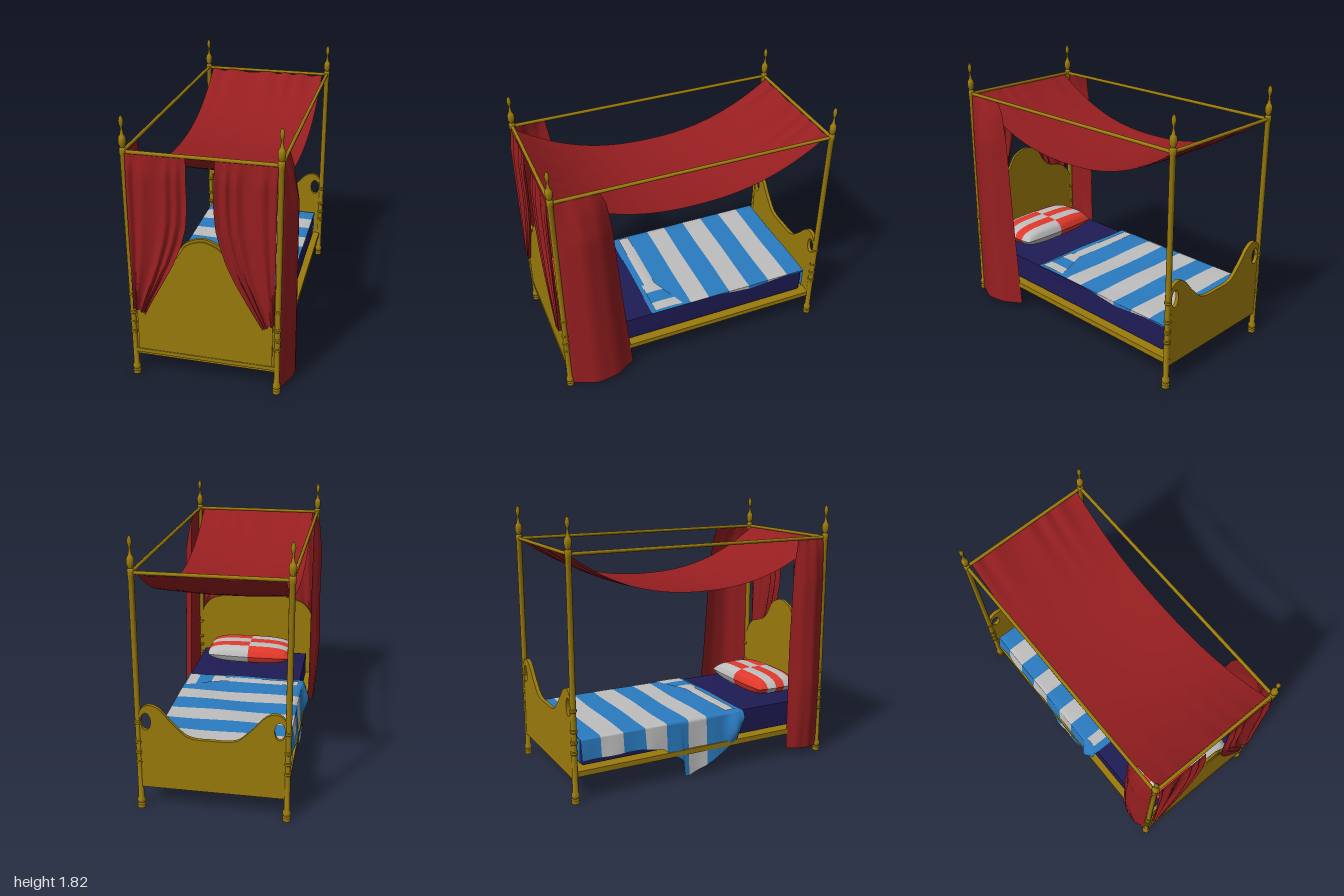
import * as THREE from 'three';
import { mergeGeometries, toCreasedNormals } from 'three/addons/utils/BufferGeometryUtils.js';

const mat = (name, color, double = false) => {
  const m = new THREE.MeshStandardMaterial({ color });
  m.name = name;
  if (double) m.side = THREE.DoubleSide;
  return m;
};

// Piecewise linear lookup in [[key, value], ...] with ascending keys
function lookup(table, k) {
  if (k <= table[0][0]) return table[0][1];
  for (let i = 1; i < table.length; i++) {
    const [a, va] = table[i - 1], [b, vb] = table[i];
    if (k <= b) return va + (vb - va) * (k - a) / (b - a);
  }
  return table[table.length - 1][1];
}

// Sheet with nu x nv cells, where fn(u, v) returns [x, y, z]
function sheet(nu, nv, fn) {
  const geo = new THREE.PlaneGeometry(1, 1, nu, nv);
  const pos = geo.attributes.position, uv = geo.attributes.uv;
  for (let i = 0; i < pos.count; i++) pos.setXYZ(i, ...fn(uv.getX(i), 1 - uv.getY(i)));
  geo.computeVertexNormals();
  return geo;
}

export function createModel() {
  const bed = new THREE.Group();
  bed.name = 'canopyBed';
  const gold = mat('golden wood', 0x9b7b0c);
  const red = mat('red cloth', 0x961e20, true);
  const navy = mat('navy mattress', 0x1f1c56);
  const blue = mat('blue stripe', 0x2a7bc0, true);
  const pale = mat('pale grey cloth', 0xbebebe, true);
  const scarlet = mat('scarlet check', 0xe0382b, true);
  const add = (name, geo, material, x = 0, y = 0, z = 0) => {
    const m = new THREE.Mesh(geo, material);
    m.name = name;
    m.position.set(x, y, z);
    bed.add(m);
    return m;
  };
  const L = 0.465, R = -0.49, CX = (L + R) / 2, FZ = 0.957, BZ = -0.97, CZ = (FZ + BZ) / 2;

  // Turned posts with rings and finials
  const ring = (y) => [[0.019, y - 0.012], [0.024, y - 0.007], [0.024, y + 0.007], [0.019, y + 0.012]];
  const profile = [[0, 0], [0.026, 0], [0.026, 0.025], [0.019, 0.033], [0.027, 0.045], [0.027, 0.062], [0.019, 0.078],
    ...ring(0.34), ...ring(0.41), ...ring(0.485), ...ring(0.62), [0.019, 1.575], [0.022, 1.582], [0.022, 1.615],
    [0.014, 1.625], [0.023, 1.645], [0.024, 1.675], [0.02, 1.692], [0.013, 1.7], [0.008, 1.73], [0.007, 1.752],
    [0.013, 1.768], [0.015, 1.787], [0.01, 1.81], [0, 1.824]];
  const postGeo = toCreasedNormals(new THREE.LatheGeometry(profile.map(p => new THREE.Vector2(...p)), 16), 0.7);
  for (const x of [L, R]) for (const z of [FZ, BZ]) add('post', postGeo, gold, x, 0, z);

  // Canopy rails
  for (const x of [L, R]) {
    add('longRail', new THREE.CylinderGeometry(0.012, 0.012, FZ - BZ, 10), gold, x, 1.597, CZ).rotation.x = Math.PI / 2;
  }
  for (const z of [FZ, BZ]) {
    add('crossRail', new THREE.CylinderGeometry(0.012, 0.012, L - R, 10), gold, CX, 1.597, z).rotation.z = Math.PI / 2;
  }

  // Base board and mattress
  add('baseBoard', new THREE.BoxGeometry(L - R, 0.037, FZ - BZ), gold, CX, 0.19, CZ);
  const mw = 0.86, mh = 0.175, bev = 0.02;
  const mShape = new THREE.Shape([[-1, -1], [1, -1], [1, 1], [-1, 1]].map(
    ([a, b]) => new THREE.Vector2(a * (mw / 2 - bev), b * (mh / 2 - bev))));
  const mGeo = new THREE.ExtrudeGeometry(mShape, { depth: 1.77, bevelSize: bev, bevelThickness: bev, bevelSegments: 3 });
  add('mattress', toCreasedNormals(mGeo, 0.6), navy, CX, 0.314, -0.89);

  // Shaped end boards: mirrored half outlines, smoothed along the top
  function board(name, half, z, depth, k, holes) {
    const top = new THREE.SplineCurve([...half.slice(1).reverse().map(([x, y]) => new THREE.Vector2(-x, y)),
      ...half.map(([x, y]) => new THREE.Vector2(x, y))]).getPoints(56);
    const fit = (x, y) => new THREE.Vector2(x * k, 0.16 + (1 - k) * 0.55 + (y - 0.16) * k);
    const s = new THREE.Shape([fit(-0.47, 0.16), ...top.map(p => fit(p.x, p.y)), fit(0.47, 0.16)]);
    if (holes) for (const sx of [-1, 1]) {
      s.holes.push(new THREE.Path().absellipse(sx * 0.425, 0.63, 0.033, 0.06, 0, Math.PI * 2));
    }
    const geo = new THREE.ExtrudeGeometry(s, { depth, bevelEnabled: false });
    add(name, toCreasedNormals(geo, 0.5), gold, CX, 0, z);
  }
  const headHalf = [[0, 1.07], [0.06, 1.055], [0.12, 1.02], [0.17, 0.94], [0.22, 0.885], [0.3, 0.855], [0.38, 0.83], [0.44, 0.77], [0.47, 0.7]];
  const footHalf = [[0, 0.53], [0.1, 0.53], [0.17, 0.55], [0.22, 0.595], [0.27, 0.645], [0.33, 0.715], [0.39, 0.745], [0.44, 0.73], [0.47, 0.69]];
  board('headboard', headHalf, 0.942, 0.02, 1, false);
  board('headboardPanel', headHalf, 0.962, 0.008, 0.95, false);
  board('footboard', footHalf, -0.983, 0.026, 1, true);
  add('headboardTrim', new THREE.BoxGeometry(0.94, 0.028, 0.014), gold, CX, 0.195, 0.967);

  // Sagging canopy cloth
  add('canopy', sheet(40, 40, (u, v) => {
    const t = 2 * v - 1, a = Math.abs(t), x = -0.455 + 0.885 * u;
    const fold = 0.012 * Math.sin(u * 31 + 2 * Math.sin(u * 9)) * a ** 4;
    const belly = 0.026 * Math.sin(Math.PI * u) * (1 - t * t);
    return [x, 1.286 + 0.304 * a ** 2.3 + fold * (t < 0 ? 1 : 0.3) - belly, CZ + 0.96 * t];
  }), red);

  // Tied-back front curtains: inner edge x by height
  const frontCurtains = [
    ['rightFrontCurtain', -0.475, 0.525, 0.495, [[0.495, -0.395], [0.6, -0.345], [0.7, -0.29], [0.88, -0.195], [1.03, -0.135], [1.15, -0.105], [1.3, -0.093], [1.59, -0.1]]],
    ['leftFrontCurtain', 0.45, 0.525, 0.495, [[0.495, 0.375], [0.63, 0.295], [0.8, 0.2], [0.92, 0.145], [1.03, 0.11], [1.15, 0.08], [1.3, 0.068], [1.59, 0.075]]],
  ];
  for (const [name, outer, yOuter, yInner, edge] of frontCurtains) {
    add(name, sheet(48, 32, (u, v) => {
      const y = 1.592 + (yOuter + (yInner - yOuter) * u - 1.592) * v;
      const x = outer + (lookup(edge, y) - outer) * u;
      const open = Math.min(1, v * 8);
      return [x, y, 0.974 + open * (0.009 + 0.012 * Math.sin(u * 24 + 1.8 * Math.sin(u * 8) + v))];
    }), red);
  }

  // Hanging side curtains behind the head posts: inner edge z and bulge by height
  const sideCurtains = [
    ['leftSideCurtain', 1, 0.462, 0.025, [[0.03, 0.48], [0.6, 0.53], [1.3, 0.58], [1.5, 0.61], [1.592, 0.65]], [[0.03, 0.09], [1.3, 0.083], [1.5, 0.045], [1.592, 0.012]]],
    ['rightSideCurtain', -1, 0.487, 0.05, [[0.03, 0.68], [0.8, 0.68], [1.4, 0.7], [1.592, 0.73]], [[0.05, 0.035], [0.3, 0.055], [0.55, 0.068], [1, 0.055], [1.3, 0.058], [1.5, 0.035], [1.592, 0.006]]],
  ];
  for (const [name, side, base, bottom, edge, bulge] of sideCurtains) {
    add(name, sheet(32, 32, (u, v) => {
      const y = 1.592 + (bottom - 0.01 + 0.02 * u - 1.592) * v;
      const z = 0.962 + (lookup(edge, y) - 0.962) * u;
      const out = lookup(bulge, y) * Math.sin(Math.PI * u) + 0.003 * Math.sin(u * 18 + v);
      return [side * (base + out), y, z];
    }), red);
  }

  // Striped blanket: cross-section from left edge over the top to the right hem
  const hem = [[-0.92, 0.27], [-0.5, 0.27], [-0.33, 0.24], [-0.25, 0.18], [-0.2, 0.15], [-0.182, 0.13], [-0.172, 0.015], [-0.13, 0.017], [0, 0.06], [0.17, 0.15], [0.25, 0.21], [0.31, 0.36]];
  const drop = [[-0.92, 0.012], [-0.75, 0.006], [-0.62, 0.018], [-0.48, 0.032], [-0.36, 0.02], [-0.22, 0.003], [0.33, 0]];
  const across = (u, z) => {
    const wave = 0.003 * Math.sin(u * 14 + z * 9);
    if (u < 0.08) return [0.423, 0.41 - lookup(drop, z) * (1 - u / 0.08), z];
    if (u < 0.68) return [0.421 - 0.887 * (u - 0.08) / 0.6, 0.411 + wave, z];
    const t = (u - 0.68) / 0.32;
    const bump = 0.045 * Math.exp(-(((z - 0.23) / 0.05) ** 2)) * Math.sin(Math.PI * t);
    return [-0.468 - 0.02 * t - bump - 0.005 * t * Math.sin(z * 25), 0.408 + (lookup(hem, z) - 0.408) * t, z];
  };
  const stops = [0.31, 0.01, -0.135, -0.3, -0.46, -0.62, -0.78, -0.918];
  for (let i = 0; i + 1 < stops.length; i++) {
    add('blanketStripe', sheet(50, 24, (u, v) => across(u, stops[i] + (stops[i + 1] - stops[i]) * v)), i % 2 ? pale : blue);
  }
  add('blanketFootFlap', sheet(20, 4, (u, v) => [0.423 - 0.885 * u, 0.41 - 0.16 * v, -0.918 - 0.006 * Math.sin(u * 20) * v]), blue);
  // Turned-over head edge and its corner, with crossing stripes
  add('blanketHeadEdge', sheet(20, 4, (u, v) => [0.13 - 0.57 * u, 0.418 + 0.003 * Math.sin(Math.PI * v), 0.26 - 0.08 * v]), pale);
  for (const [x0, x1, m] of [[0.41, 0.33, pale], [0.33, 0.22, blue], [0.22, 0.13, pale]]) {
    add('blanketFold', sheet(6, 4, (u, v) => {
      const x = x0 + (x1 - x0) * u;
      return [x, 0.418 + 0.003 * Math.sin(Math.PI * v), 0.28 - (0.1 + 0.4 * (x - 0.13)) * v];
    }), m);
  }

  // Checked pillow: two columns of bands, top and bottom
  const cells = [[], []], rows = 5;
  const puff = (a, b, s) => {
    const h = Math.sqrt(Math.max(0, (1 - a ** 4) * (1 - b ** 4)));
    return [0.345 * a * (1 - 0.06 * b * b), 0.482 + s * 0.075 * h, 0.72 + 0.195 * b * (1 - 0.08 * a * a)];
  };
  for (const s of [1, -1]) for (let c = 0; c < 2; c++) for (let r = 0; r < rows; r++) {
    cells[(c + r) % 2].push(sheet(14, 6, (u, v) => puff(c - 1 + u, -1 + 2 * (r + v) / rows, s)));
  }
  add('pillowRedChecks', mergeGeometries(cells[0]), scarlet);
  add('pillowPaleChecks', mergeGeometries(cells[1]), pale);

  return bed;
}
